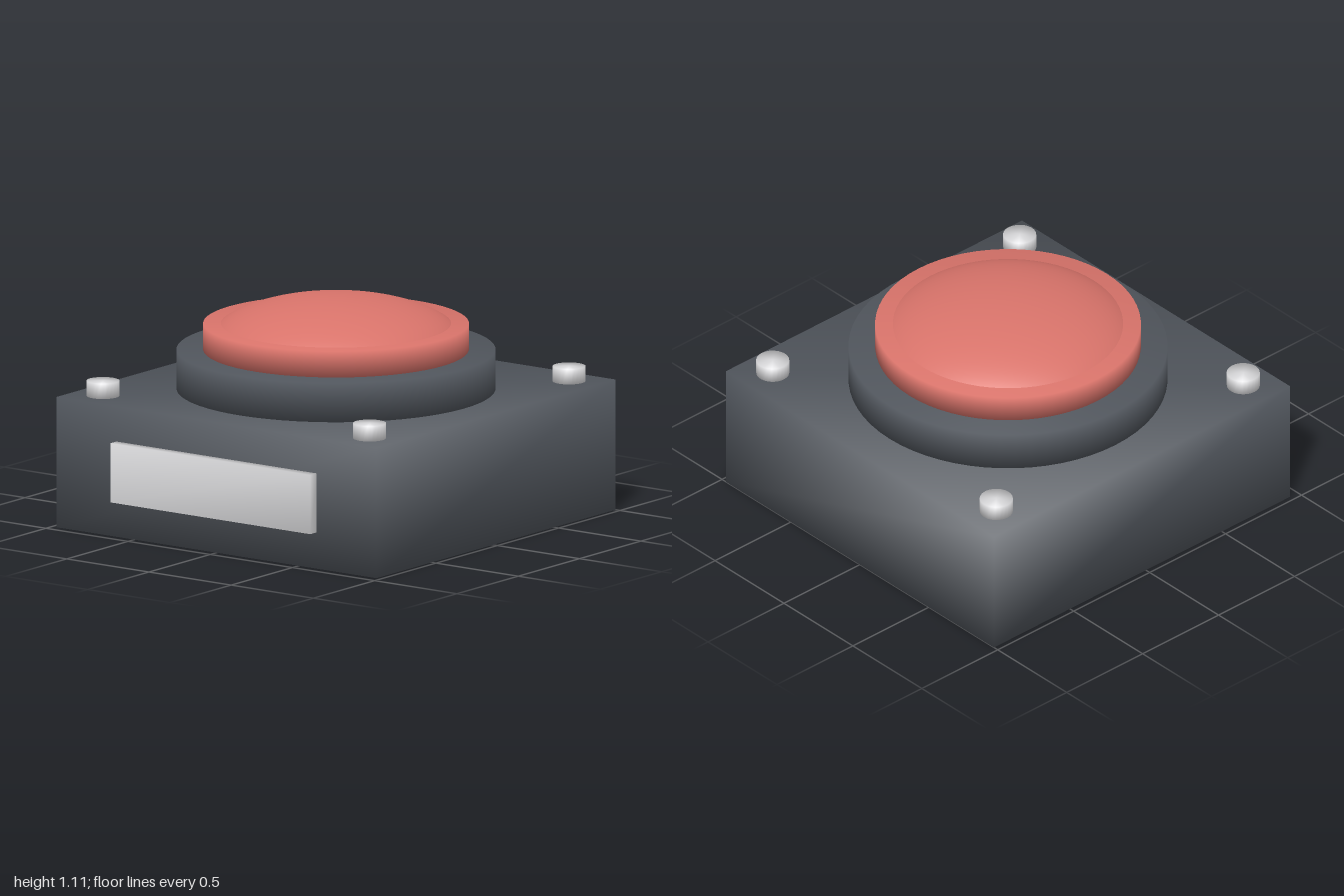
import * as THREE from 'three';
import { mergeVertices } from 'three/addons/utils/BufferGeometryUtils.js';

// Weld corners so the shading rolls softly over the edges
function soften(geometry) {
  geometry.deleteAttribute('normal');
  geometry.deleteAttribute('uv');
  const welded = mergeVertices(geometry, 1e-4);
  welded.computeVertexNormals();
  return welded;
}

function makeMaterial(name, color) {
  const material = new THREE.MeshStandardMaterial({ color });
  material.name = name;
  return material;
}

export function createModel() {
  const charcoal = makeMaterial('charcoal', 0x50555c);
  const red = makeMaterial('red', 0xd8736a);
  const silver = makeMaterial('silver', 0xd8d8da);

  const model = new THREE.Group();
  model.name = 'pushButton';
  const centreZ = -0.025;

  function add(name, geometry, material, x, y, z) {
    const mesh = new THREE.Mesh(geometry, material);
    mesh.name = name;
    mesh.position.set(x, y, z);
    model.add(mesh);
    return mesh;
  }
  const box = (w, h, d) => soften(new THREE.BoxGeometry(w, h, d));
  const disc = (r, h, sides) => soften(new THREE.CylinderGeometry(r, r, h, sides));

  // Housing with the plate on its front
  add('housing', box(1.946, 0.65, 1.95), charcoal, 0, 0.325, centreZ);
  add('frontPlate', box(1.216, 0.295, 0.06), silver, 0, 0.328, 0.97);

  // Collar, button and its shallow dome
  add('collar', disc(0.778, 0.195, 64), charcoal, 0, 0.7475, centreZ);
  add('button', disc(0.648, 0.13, 64), red, 0, 0.91, centreZ);
  const dome = new THREE.SphereGeometry(0.648, 64, 20, 0, Math.PI * 2, 0, Math.PI / 2);
  dome.scale(1, 0.4, 1);
  add('buttonDome', dome, red, 0, 0.846, centreZ);

  // Corner screws
  const screw = disc(0.081, 0.075, 24);
  for (const [side, sx] of [['left', 1], ['right', -1]]) {
    for (const [end, sz] of [['Front', 1], ['Back', -1]]) {
      add(`${side}${end}Screw`, screw, silver, sx * 0.811, 0.6875, centreZ + sz * 0.813);
    }
  }
  return model;
}
